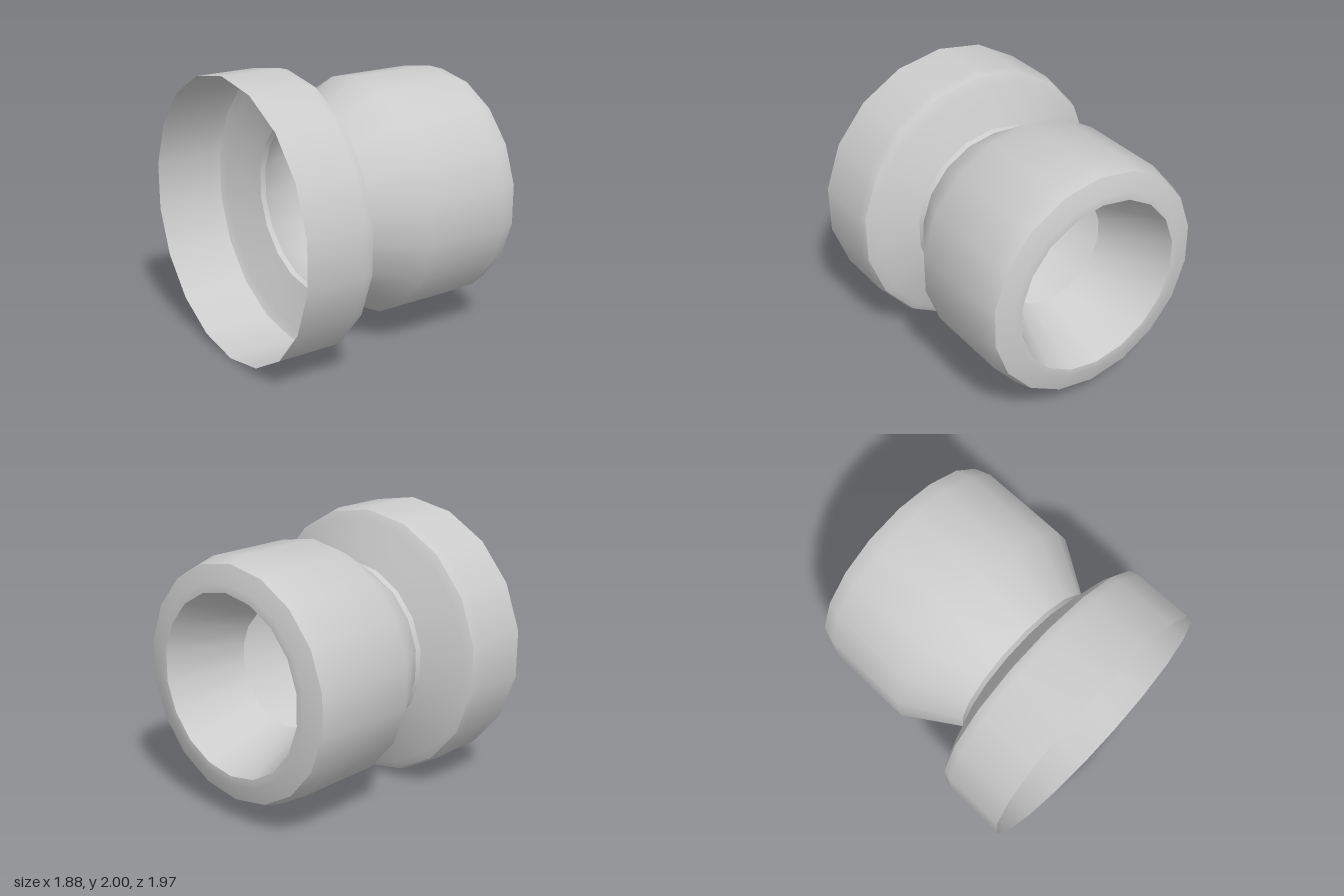
import * as THREE from 'three';

const SIDES = 18;

export function createModel() {
  const group = new THREE.Group();
  group.name = 'hollowCoupling';
  const material = new THREE.MeshStandardMaterial({ color: 0xcccccc, side: THREE.DoubleSide });

  // Each part is a smooth band of [x, radius] points turned about the x axis;
  // neighbouring bands share a radius, which keeps the edge between them sharp.
  const bands = {
    flangeSkirt: [[-0.94, 1], [-0.5, 1], [-0.435, 0.982]],
    flangeShoulder: [[-0.435, 0.982], [-0.4, 0.925], [-0.29, 0.633]],
    neck: [[-0.29, 0.633], [-0.255, 0.62]],
    body: [[-0.255, 0.62], [0.13, 0.862], [0.78, 0.862], [0.9, 0.825]],
    mouthRim: [[0.9, 0.825], [0.94, 0.7], [0.94, 0.64]],
    innerFunnel: [[0.94, 0.64], [0.4, 0.435]],
  };

  for (const [name, profile] of Object.entries(bands)) {
    const points = profile.map(([x, r]) => new THREE.Vector2(r, x));
    // Start a quarter turn round so that corners lie at the top and bottom
    const geometry = new THREE.LatheGeometry(points, SIDES, Math.PI / 2);
    geometry.rotateZ(-Math.PI / 2).translate(0, 1, 0);
    const mesh = new THREE.Mesh(geometry, material);
    mesh.name = name;
    group.add(mesh);
  }
  return group;
}
